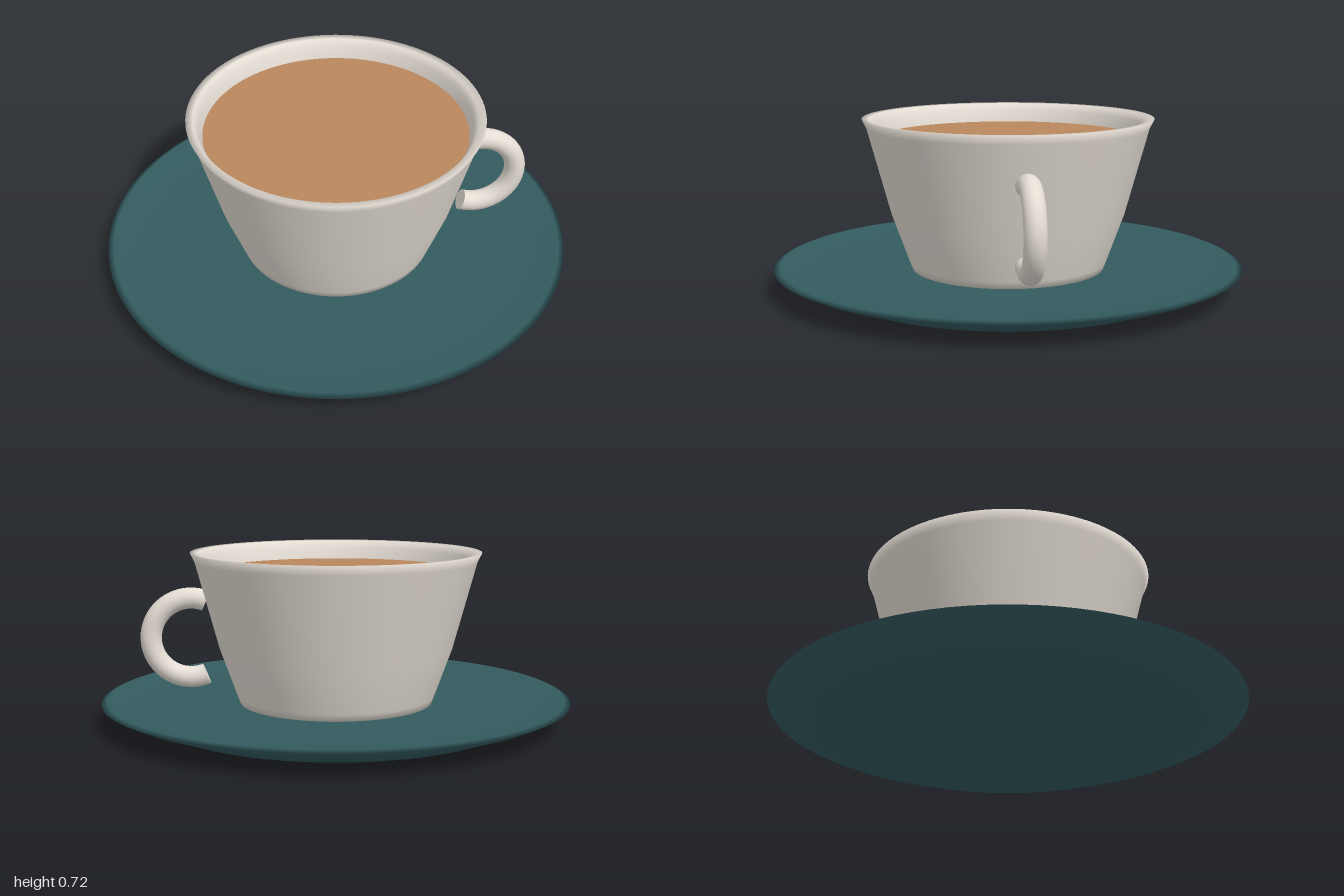
import * as THREE from 'three';

const material = (name, color) => {
  const m = new THREE.MeshStandardMaterial({ color });
  m.name = name;
  return m;
};

export function createModel() {
  const model = new THREE.Group();
  model.name = 'cupAndSaucer';
  const ceramic = material('cream ceramic', 0xe4ddd4);
  const glaze = material('dark teal glaze', 0x335b5f);
  const coffee = material('milky coffee', 0xba875c);

  const add = (name, geometry, mat, parent = model) => {
    const mesh = new THREE.Mesh(geometry, mat);
    mesh.name = name;
    parent.add(mesh);
    return mesh;
  };
  const lathe = (points) =>
    new THREE.LatheGeometry(points.map(([r, y]) => new THREE.Vector2(r, y)), 96);

  // Shallow saucer: flat foot, flared underside, raised lip, gently dished top
  add('saucer', lathe([
    [0, 0], [0.75, 0], [0.94, 0.07], [1, 0.098], [0.975, 0.108],
    [0.94, 0.094], [0.8, 0.083], [0.42, 0.076], [0, 0.076],
  ]), glaze);

  // Cup: closed base, tapered outer wall, flared thick rim, inner wall and floor
  add('cup', lathe([
    [0, 0.077], [0.414, 0.077], [0.425, 0.107], [0.5, 0.315], [0.6, 0.685], [0.619, 0.724],
    [0.588, 0.722], [0.57, 0.69], [0.555, 0.64], [0.465, 0.315], [0.39, 0.107], [0, 0.107],
  ]), ceramic);

  // Coffee surface
  const surface = add('coffee', new THREE.CircleGeometry(0.556, 96), coffee);
  surface.rotation.x = -Math.PI / 2;
  surface.position.y = 0.64;

  // C-shaped handle with closed ends
  const handle = new THREE.Group();
  handle.name = 'handle';
  handle.position.set(0.619, 0.362, 0);
  model.add(handle);
  const ring = 0.169, tube = 0.045, half = THREE.MathUtils.degToRad(112);
  const loop = add('handleLoop', new THREE.TorusGeometry(ring, tube, 24, 64, half * 2), ceramic, handle);
  loop.rotation.z = -half;
  for (const side of [-1, 1]) {
    const a = side * half;
    const cap = add('handleEnd', new THREE.CircleGeometry(tube, 24), ceramic, handle);
    cap.position.set(ring * Math.cos(a), ring * Math.sin(a), 0);
    cap.lookAt(new THREE.Vector3(
      handle.position.x + cap.position.x - side * Math.sin(a),
      handle.position.y + cap.position.y + side * Math.cos(a), 0));
  }
  return model;
}
